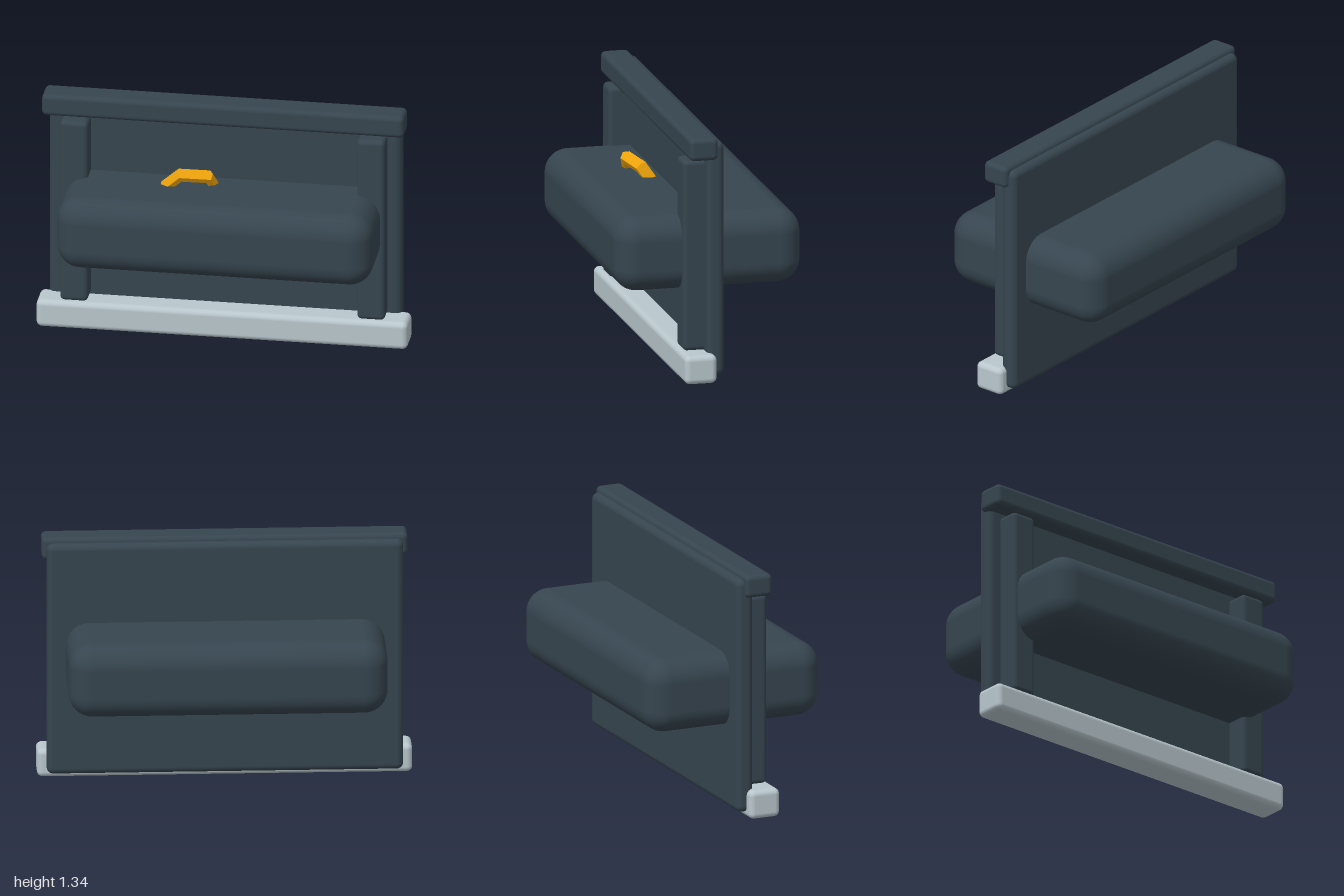
import * as THREE from 'three';
import { RoundedBoxGeometry } from 'three/addons/geometries/RoundedBoxGeometry.js';

const dark = new THREE.MeshStandardMaterial({ color: 0x36454f });
const pale = new THREE.MeshStandardMaterial({ color: 0xb9c7cd });
const gold = new THREE.MeshStandardMaterial({ color: 0xf2a60c, flatShading: true });

// Rounded block given by its extents on each axis
function block(name, [x0, x1], [y0, y1], [z0, z1], radius, material, segments = 4) {
  const geometry = new RoundedBoxGeometry(x1 - x0, y1 - y0, z1 - z0, segments, radius);
  const mesh = new THREE.Mesh(geometry, material);
  mesh.position.set((x0 + x1) / 2, (y0 + y1) / 2, (z0 + z1) / 2);
  mesh.name = name;
  return mesh;
}

export function createModel() {
  const model = new THREE.Group();
  model.name = 'panelWithBody';

  // Upright panel with the large body passing through it
  model.add(block('panel', [-0.95, 0.95], [0.03, 1.317], [-0.047, 0.047], 0.035, dark));
  model.add(block('body', [-0.85, 0.85], [0.473, 0.88], [-0.511, 0.511], 0.127, dark, 8));

  // Frame on the front: base, top rail and two posts
  model.add(block('base', [-1, 1], [0, 0.156], [0.005, 0.181], 0.03, pale));
  model.add(block('topRail', [-0.975, 0.975], [1.22, 1.343], [-0.008, 0.147], 0.027, dark));
  for (const side of [-1, 1]) {
    const name = side < 0 ? 'rightPost' : 'leftPost';
    const post = block(name, [-0.075, 0.075], [0.155, 1.2], [0, 0.16], 0.025, dark);
    post.position.x = side * 0.8;
    model.add(post);
  }

  // Tilted six-sided ring, half sunk into the body
  const ring = new THREE.Mesh(new THREE.TorusGeometry(0.153, 0.036, 6, 6), gold);
  const toApex = new THREE.Vector3(-0.04, 0.12, 0.08).normalize();
  const toSide = new THREE.Vector3(0.11, 0.09, 0.03);
  const normal = new THREE.Vector3().crossVectors(toApex, toSide).normalize();
  const across = new THREE.Vector3().crossVectors(normal, toApex);
  ring.quaternion.setFromRotationMatrix(new THREE.Matrix4().makeBasis(toApex, across, normal));
  ring.position.set(-0.18, 0.825, 0.11);
  ring.name = 'handleRing';
  model.add(ring);

  return model;
}
